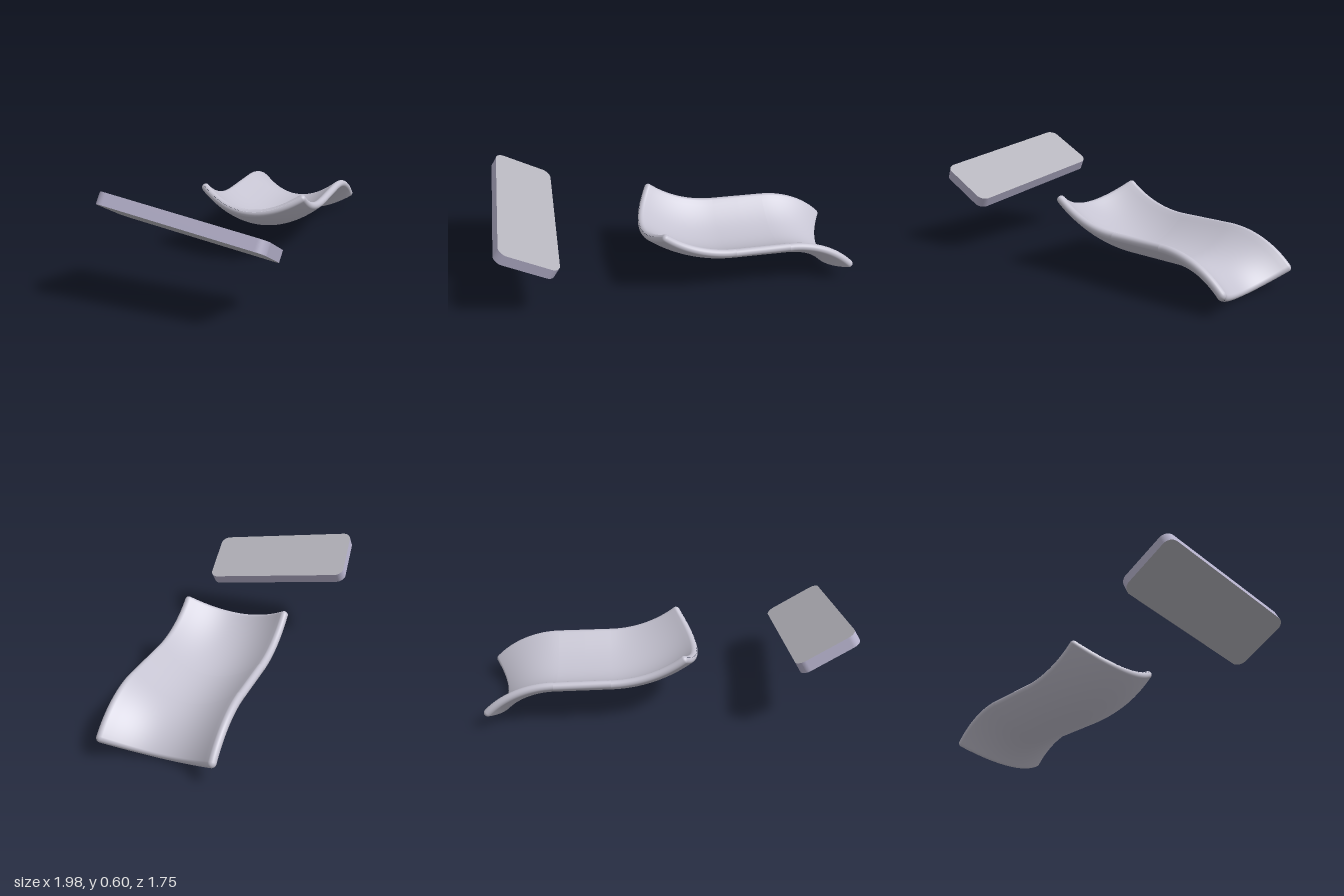
import * as THREE from 'three';

const material = (name, color, side = THREE.FrontSide) => {
  const m = new THREE.MeshStandardMaterial({ color, side });
  m.name = name;
  return m;
};

const HALF_THICK = 0.022;   // shell half thickness
const HALF_WIDTH = 0.285;   // shell half width without its rounded rim
const FLOOR = 0.132;        // height of the shell's centre line
const SAG = 0.121;          // depth of the hollow

// Closed cross-section: hollow side, rim, underside, rim, as [width, height] pairs
function profile(t) {
  const pts = [];
  const add = (w, angle) => {
    const k = w / HALF_WIDTH;
    const a = Math.atan(2 * SAG * k / HALF_WIDTH) + angle;
    pts.push([w - Math.sin(a) * t, FLOOR + SAG * k * k + Math.cos(a) * t]);
  };
  const n = 24, caps = 8;
  for (let i = 0; i <= n; i++) add(HALF_WIDTH * (2 * i / n - 1), 0);
  for (let i = 1; i < caps; i++) add(HALF_WIDTH, -Math.PI * i / caps);
  for (let i = 0; i <= n; i++) add(HALF_WIDTH * (1 - 2 * i / n), Math.PI);
  for (let i = 1; i < caps; i++) add(-HALF_WIDTH, Math.PI - Math.PI * i / caps);
  return pts;
}

// Skin a row of closed sections
function loft(rows) {
  const n = rows[0].length, index = [];
  for (let i = 0; i < rows.length - 1; i++) {
    for (let j = 0; j < n; j++) {
      const a = i * n + j, b = i * n + (j + 1) % n;
      index.push(a, b, a + n, b, b + n, a + n);
    }
  }
  const g = new THREE.BufferGeometry();
  g.setAttribute('position', new THREE.Float32BufferAttribute(rows.flat(2), 3));
  g.setIndex(index);
  g.computeVertexNormals();
  return g;
}

// Section swung by phi about a pivot above or below the shell
const swing = (start, pivot, phi, t) => profile(t).map(([w, h]) => [
  start + (h - pivot) * Math.sin(phi), pivot + (h - pivot) * Math.cos(phi), w,
]);

// Curved end, finished with a rounded lip
function bentEnd(start, pivot, sweep) {
  const lip = HALF_THICK / Math.abs(FLOOR + 0.06 - pivot);
  const rows = [];
  for (let i = 0; i <= 18; i++) rows.push(swing(start, pivot, (sweep - lip) * i / 18, HALF_THICK));
  for (let i = 1; i <= 6; i++) {
    const k = Math.PI / 2 * i / 6;
    rows.push(swing(start, pivot, sweep - lip * (1 - Math.sin(k)), Math.max(HALF_THICK * Math.cos(k), 0.0005)));
  }
  return rows;
}

export function createModel() {
  const model = new THREE.Group();
  const shellMat = material('pale lavender shell', 0xc4c2d0);
  const faceMat = material('grey panel face', 0xb5b4bc);
  const edgeMat = material('lavender panel edge', 0xb6b2cc);

  // Hollow shell: raised end, straight middle, drooping end
  const shell = new THREE.Group();
  shell.name = 'curvedShell';
  const straight = [-0.155, 0, 0.15].map((l) => profile(HALF_THICK).map(([w, h]) => [l, h, w]));
  const sections = {
    raisedEnd: bentEnd(-0.155, 0.88, THREE.MathUtils.degToRad(40)).reverse(),
    straightMiddle: straight,
    droopingEnd: bentEnd(0.15, -0.25, THREE.MathUtils.degToRad(48)),
  };
  for (const [name, rows] of Object.entries(sections)) {
    const mesh = new THREE.Mesh(loft(rows), shellMat);
    mesh.name = name;
    shell.add(mesh);
  }
  shell.rotation.y = 0.676;
  shell.position.set(0.378, 0, -0.3);
  model.add(shell);

  // Tilted flat panel with rounded corners
  const a = 0.434, b = 0.17, r = 0.05, depth = 0.063;
  const outline = new THREE.Shape();
  outline.absarc(a - r, b - r, r, 0, Math.PI / 2);
  outline.absarc(-a + r, b - r, r, Math.PI / 2, Math.PI);
  outline.absarc(-a + r, -b + r, r, Math.PI, Math.PI * 1.5);
  outline.absarc(a - r, -b + r, r, Math.PI * 1.5, Math.PI * 2);
  const slab = new THREE.ExtrudeGeometry(outline, { depth, bevelEnabled: false, curveSegments: 8 });
  slab.translate(0, 0, -depth / 2);
  const panel = new THREE.Mesh(slab, [faceMat, edgeMat]);
  panel.name = 'tiltedPanel';
  const along = new THREE.Vector3(0.616, -0.154, 0.773).normalize();
  const up = new THREE.Vector3(0.466, 0.863, -0.2).normalize();
  const across = new THREE.Vector3().crossVectors(up, along).normalize();
  up.crossVectors(along, across);
  panel.quaternion.setFromRotationMatrix(new THREE.Matrix4().makeBasis(along, across, up));
  panel.position.set(-0.63, 0.43, 0.462);
  model.add(panel);

  return model;
}
